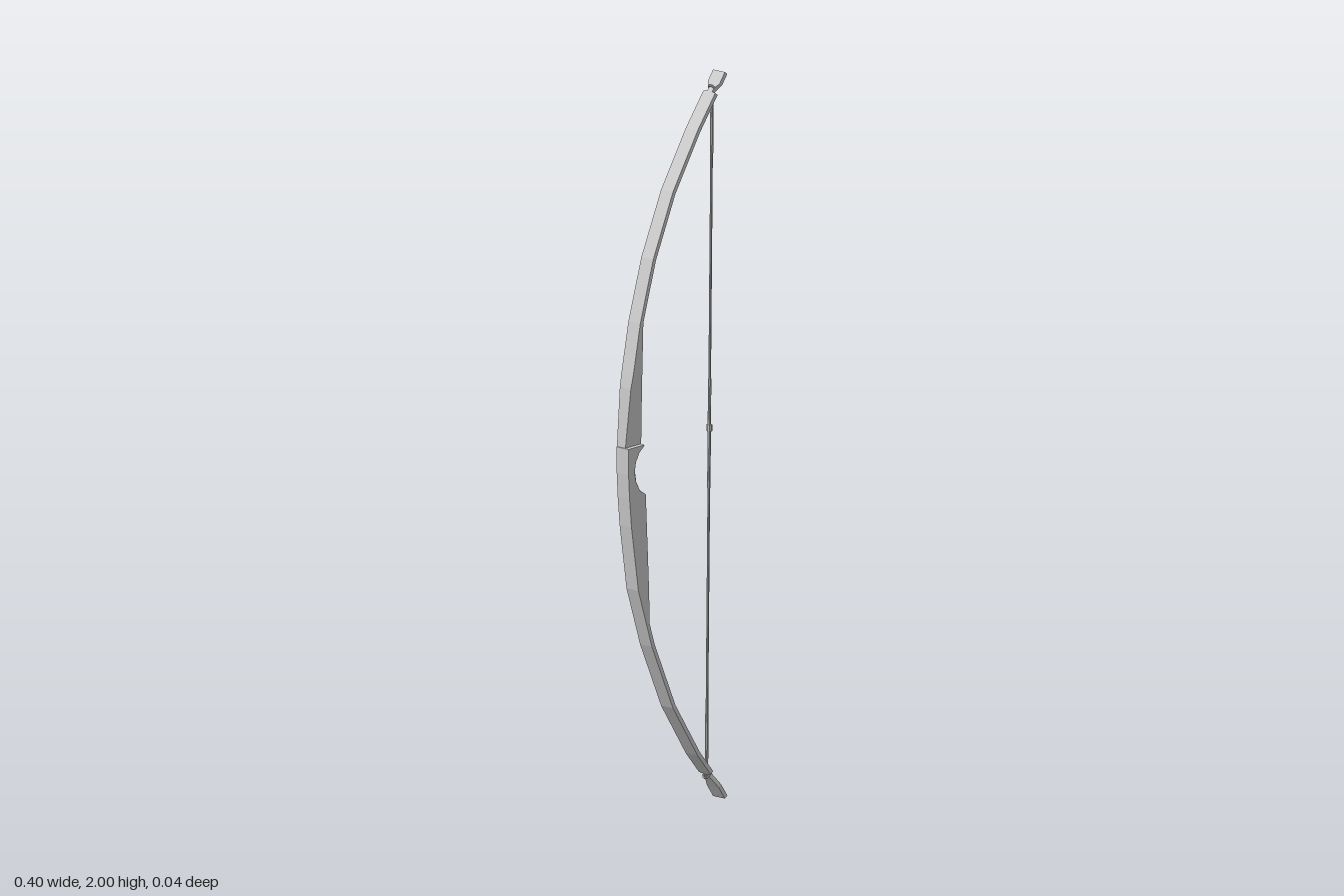
import * as THREE from 'three';

const HALF = 0.021;      // half width of the bow in z
const LIMB = 0.012;      // limb thickness

const material = new THREE.MeshStandardMaterial({ color: 0xcccccc, flatShading: true });

// Ring of six corners: outer edge, inner edge and a raised band on the inner side
function ring({ o, i, zf = HALF, zb = HALF, ridge = 0 }) {
  const r = i[0] + ridge;
  return [
    [o[0], o[1], zf], [i[0], i[1], zf], [r, i[1], zf * 0.45],
    [r, i[1], -zb * 0.45], [i[0], i[1], -zb], [o[0], o[1], -zb],
  ];
}

// Skin a list of sections, ordered from bottom to top, and close both ends
function loft(name, sections) {
  const rings = sections.map(ring);
  const pos = [];
  const tri = (a, b, c) => pos.push(...a, ...b, ...c);
  for (let k = 0; k < rings.length - 1; k++) {
    const a = rings[k], b = rings[k + 1];
    for (let j = 0; j < 6; j++) {
      const n = (j + 1) % 6;
      tri(a[j], a[n], b[n]);
      tri(a[j], b[n], b[j]);
    }
  }
  const first = rings[0], last = rings[rings.length - 1];
  for (let j = 1; j < 5; j++) {
    tri(first[0], first[j + 1], first[j]);
    tri(last[0], last[j], last[j + 1]);
  }
  const geo = new THREE.BufferGeometry();
  geo.setAttribute('position', new THREE.Float32BufferAttribute(pos, 3));
  geo.computeVertexNormals();
  const mesh = new THREE.Mesh(geo, material);
  mesh.name = name;
  return mesh;
}

// Limb sections from outer points [x, y, half width], offset by the thickness
function limb(name, pts) {
  return loft(name, pts.map(([x, y, w = HALF], k) => {
    const p = pts[Math.max(k - 1, 0)], q = pts[Math.min(k + 1, pts.length - 1)];
    const dx = q[0] - p[0], dy = q[1] - p[1], len = Math.hypot(dx, dy);
    return { o: [x, y], i: [x + dy / len * LIMB, y - dx / len * LIMB], zf: w, zb: w };
  }));
}

// Cylinder between two points in the string plane
function rod(name, a, b, radius, sides = 8) {
  const from = new THREE.Vector3(a[0], a[1], 0), to = new THREE.Vector3(b[0], b[1], 0);
  const dir = to.clone().sub(from);
  const mesh = new THREE.Mesh(new THREE.CylinderGeometry(radius, radius, dir.length(), sides), material);
  mesh.position.copy(from).add(to).multiplyScalar(0.5);
  mesh.quaternion.setFromUnitVectors(new THREE.Vector3(0, 1, 0), dir.normalize());
  mesh.name = name;
  return mesh;
}

export function createModel() {
  const bow = new THREE.Group();
  bow.name = 'bow';

  // Limbs, with string notches cut into both sides near the tips
  bow.add(limb('upperLimb', [
    [-0.152, 1.375], [-0.1, 1.54], [-0.02, 1.71], [0.08, 1.86], [0.152, 1.95],
    [0.153, 1.951, 0.009], [0.157, 1.956, 0.009], [0.17, 1.973], [0.191, 2.0],
  ]));
  bow.add(limb('lowerLimb', [
    [0.191, 0.0], [0.166, 0.035], [0.143, 0.066, 0.009], [0.135, 0.076, 0.009],
    [0.134, 0.077], [0.08, 0.14], [-0.02, 0.29], [-0.105, 0.475], [-0.125, 0.535],
  ]));

  // Riser: lower handle, hollowed grip, shelf step and tapered sight window
  const grip = [
    [-0.13, 0.9], [-0.153, 0.914], [-0.168, 0.937], [-0.175, 0.968],
    [-0.17, 0.995], [-0.157, 1.018], [-0.137, 1.034],
  ].map(([x, y], k) => ({
    o: [y < 0.97 ? -0.2 + (0.97 - y) * 0.06 : -0.2, y],
    i: [x, y],
    ridge: 0.014 * Math.sin(Math.PI * k / 6),
  }));
  bow.add(loft('riser', [
    { o: [-0.125, 0.535], i: [-0.114, 0.54] },
    { o: [-0.16, 0.64], i: [-0.117, 0.64] },
    { o: [-0.188, 0.82], i: [-0.126, 0.82] },
    ...grip,
    { o: [-0.2, 1.037], i: [-0.135, 1.037] },
    { o: [-0.199, 1.038], i: [-0.135, 1.038], zf: 0.009 },
    { o: [-0.187, 1.2], i: [-0.142, 1.2], zf: 0.018 },
    { o: [-0.18, 1.24], i: [-0.144, 1.24] },
    { o: [-0.152, 1.375], i: [-0.14, 1.372] },
  ]));

  // String with thicker serving wraps and a nocking point
  const low = [0.14, 0.072], high = [0.163, 1.958];
  const at = (y) => [low[0] + (high[0] - low[0]) * (y - low[1]) / (high[1] - low[1]), y];
  bow.add(rod('string', low, high, 0.0035));
  bow.add(rod('centreServing', at(0.86), at(1.16), 0.0045));
  bow.add(rod('lowerServing', low, at(0.25), 0.0045));
  bow.add(rod('upperServing', at(1.78), high, 0.0045));
  bow.add(rod('nockingPoint', at(1.016), at(1.034), 0.008));

  // Loops of the string around the limb notches
  [[low, 0.9], [high, -0.9]].forEach(([p, tilt], k) => {
    const loop = new THREE.Mesh(new THREE.TorusGeometry(0.01, 0.003, 6, 12), material);
    loop.name = k ? 'upperStringLoop' : 'lowerStringLoop';
    loop.rotation.set(Math.PI / 2, tilt, 0);
    loop.position.set(p[0], p[1], 0);
    bow.add(loop);
  });

  return bow;
}
